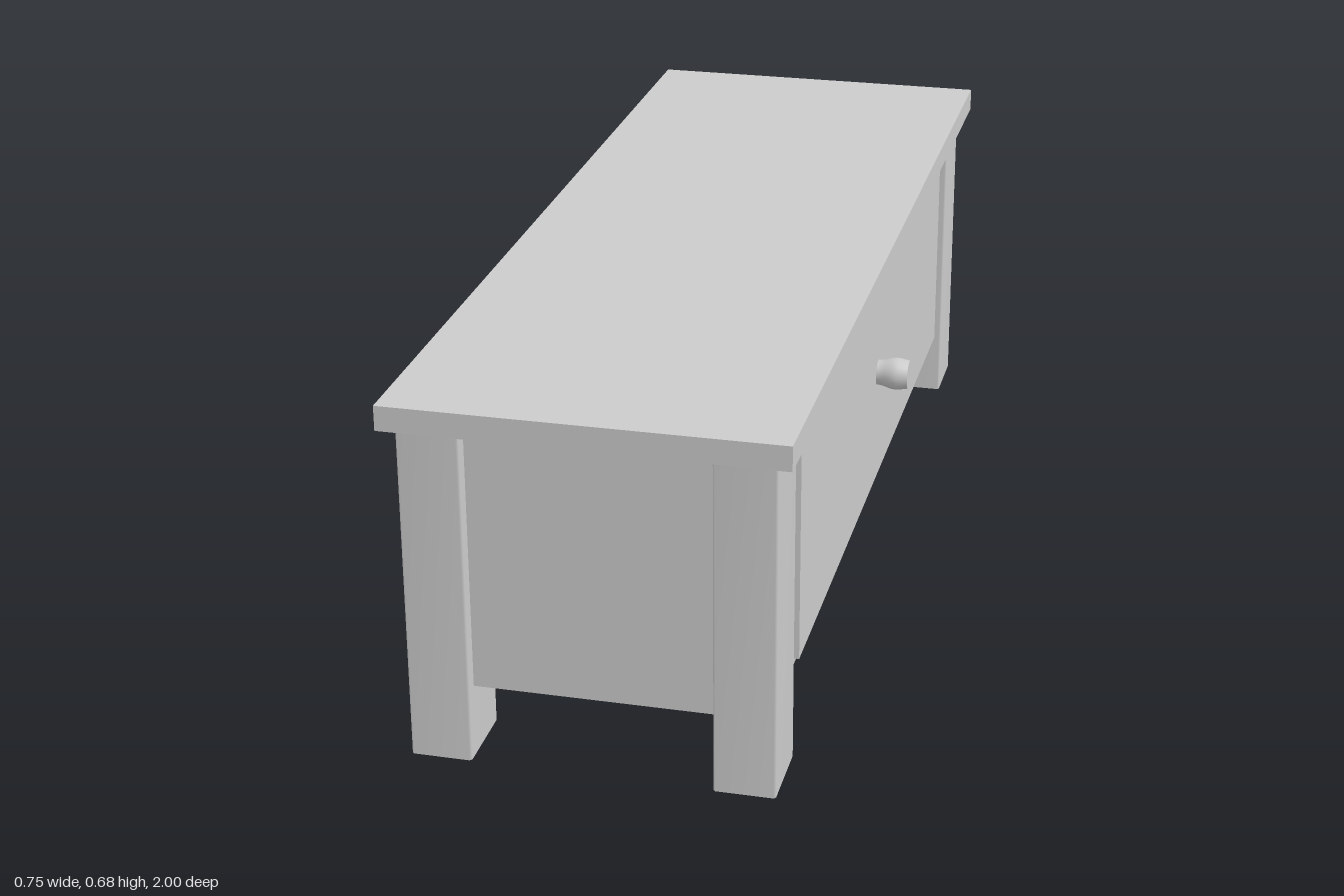
import * as THREE from 'three';
import { mergeVertices } from 'three/addons/utils/BufferGeometryUtils.js';

const material = new THREE.MeshStandardMaterial({ color: 0xcccccc });
const openMaterial = new THREE.MeshStandardMaterial({ color: 0xcccccc, side: THREE.DoubleSide });

// Box given by its min and max corners
function box(name, [x0, y0, z0], [x1, y1, z1]) {
  const mesh = new THREE.Mesh(new THREE.BoxGeometry(x1 - x0, y1 - y0, z1 - z0), material);
  mesh.position.set((x0 + x1) / 2, (y0 + y1) / 2, (z0 + z1) / 2);
  mesh.name = name;
  return mesh;
}

// Open-ended hollow post with narrow chamfered corners and soft shading
function legGeometry(width, height, depth, chamfer) {
  const geometry = new THREE.CylinderGeometry(1, 1, height, 8, 1, true, Math.PI / 8);
  geometry.deleteAttribute('uv');
  geometry.deleteAttribute('normal');
  const p = geometry.attributes.position;
  for (let i = 0; i < p.count; i++) {
    const x = p.getX(i), z = p.getZ(i);
    const alongX = Math.abs(x) > Math.abs(z);
    p.setX(i, Math.sign(x) * (width / 2 - (alongX ? 0 : chamfer)));
    p.setZ(i, Math.sign(z) * (depth / 2 - (alongX ? chamfer : 0)));
  }
  const smooth = mergeVertices(geometry);
  smooth.computeVertexNormals();
  return smooth;
}

export function createModel() {
  const group = new THREE.Group();
  group.name = 'drawerBench';

  // Top board and carcass
  group.add(box('topBoard', [-0.374, 0.634, -1], [0.342, 0.68, 1]));
  group.add(box('carcass', [-0.325, 0.136, -0.953], [0.297, 0.634, 0.953]));

  // Drawer front, standing slightly proud of the carcass
  group.add(box('drawerFront', [0.29, 0.157, -0.767], [0.31, 0.617, 0.767]));

  // Four legs
  const leg = legGeometry(0.111, 0.634, 0.148, 0.004);
  for (const [x, side] of [[-0.29, 'Right'], [0.259, 'Left']]) {
    for (const [z, end] of [[0.907, 'front'], [-0.907, 'back']]) {
      const mesh = new THREE.Mesh(leg, openMaterial);
      mesh.position.set(x, 0.317, z);
      mesh.name = `${end}${side}Leg`;
      group.add(mesh);
    }
  }

  // Turned knob, swelling toward a flat face
  const profile = new THREE.SplineCurve([
    [0.025, 0], [0.026, 0.012], [0.031, 0.03], [0.032, 0.044], [0.028, 0.065],
  ].map(([r, h]) => new THREE.Vector2(r, h))).getPoints(12);
  const knob = new THREE.Group();
  knob.name = 'knob';
  const knobBody = new THREE.Mesh(new THREE.LatheGeometry(profile, 24), openMaterial);
  knobBody.name = 'knobBody';
  const knobFace = new THREE.Mesh(new THREE.CircleGeometry(0.028, 24), material);
  knobFace.name = 'knobFace';
  knobFace.rotation.x = -Math.PI / 2;
  knobFace.position.y = 0.065;
  knob.add(knobBody, knobFace);
  knob.rotation.z = -Math.PI / 2;
  knob.position.set(0.308, 0.391, 0);
  group.add(knob);

  return group;
}
